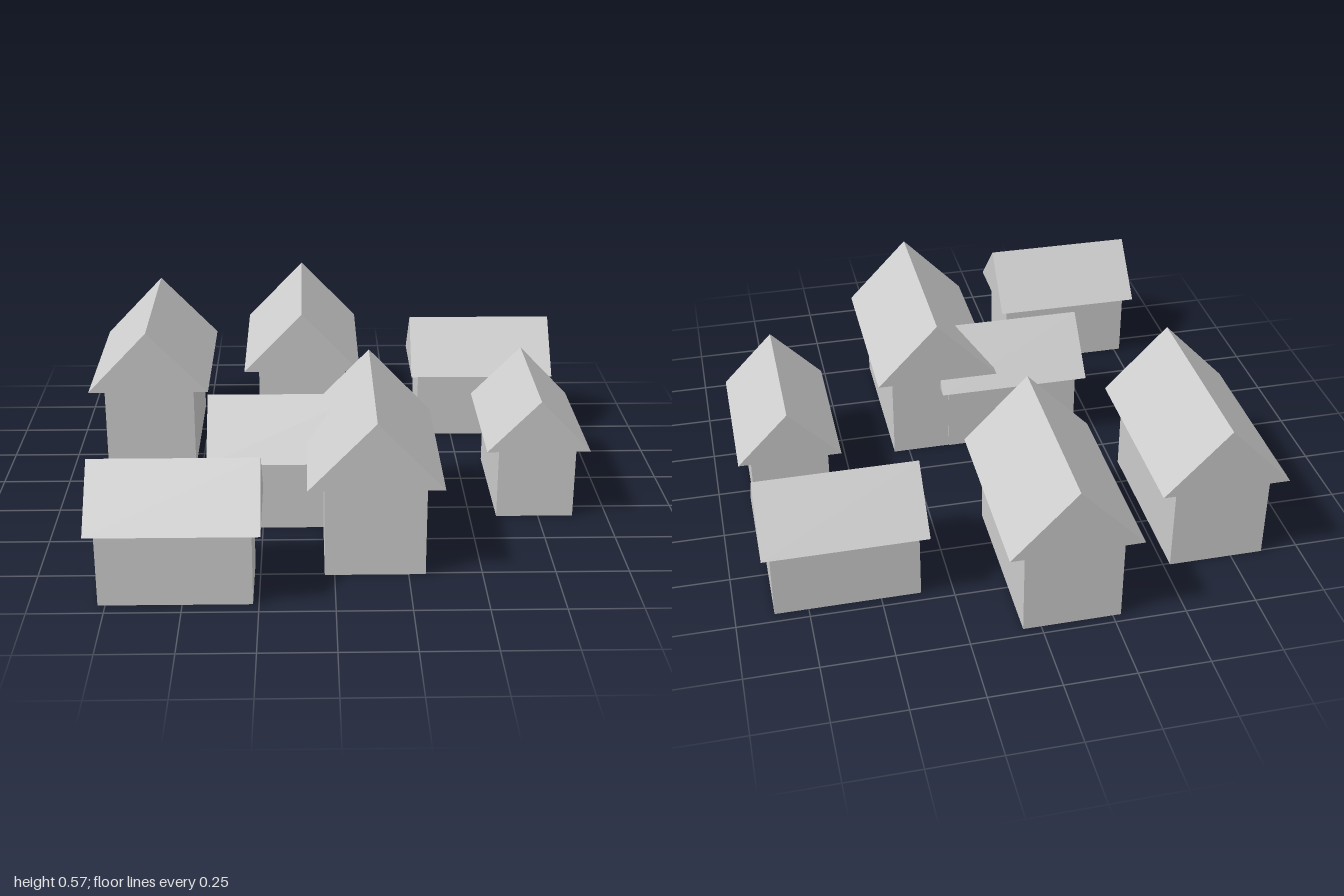
import * as THREE from 'three';

const material = new THREE.MeshStandardMaterial({ color: 0xcccccc, flatShading: true });

// House types: wall width/length, roof width/length, eave and ridge heights (ridge runs along z)
const LARGE = { wallW: 0.341, wallL: 0.63, roofW: 0.456, roofL: 0.697, eave: 0.328, ridge: 0.566 };
const SMALL = { wallW: 0.278, wallL: 0.505, roofW: 0.37, roofL: 0.564, eave: 0.268, ridge: 0.46 };

function makeHouse(name, type) {
  const house = new THREE.Group();
  house.name = name;

  // Box walls
  const walls = new THREE.Mesh(new THREE.BoxGeometry(type.wallW, type.eave, type.wallL), material);
  walls.name = 'walls';
  walls.position.y = type.eave / 2;

  // Solid gabled roof overhanging the walls on all sides
  const gable = new THREE.Shape();
  gable.moveTo(-type.roofW / 2, type.eave);
  gable.lineTo(type.roofW / 2, type.eave);
  gable.lineTo(0, type.ridge);
  gable.closePath();
  const roofGeometry = new THREE.ExtrudeGeometry(gable, { depth: type.roofL, bevelEnabled: false });
  roofGeometry.translate(0, 0, -type.roofL / 2);
  const roof = new THREE.Mesh(roofGeometry, material);
  roof.name = 'gableRoof';

  house.add(walls, roof);
  return house;
}

export function createModel() {
  const village = new THREE.Group();
  village.name = 'village';

  // Placement: type, x, z, and whether the ridge is turned to run along x
  const houses = [
    [LARGE, -0.695, -0.44, false],
    [LARGE, -0.108, -0.652, false],
    [LARGE, 0.137, 0.444, false],
    [SMALL, 0.614, -0.573, true],
    [SMALL, -0.522, 0.812, true],
    [SMALL, -0.161, 0.265, true],
    [SMALL, 0.737, 0.073, false],
  ];
  houses.forEach(([type, x, z, turned], i) => {
    const house = makeHouse((type === LARGE ? 'largeHouse' : 'smallHouse') + (i + 1), type);
    house.position.set(x, 0, z);
    if (turned) house.rotation.y = Math.PI / 2;
    village.add(house);
  });
  return village;
}
